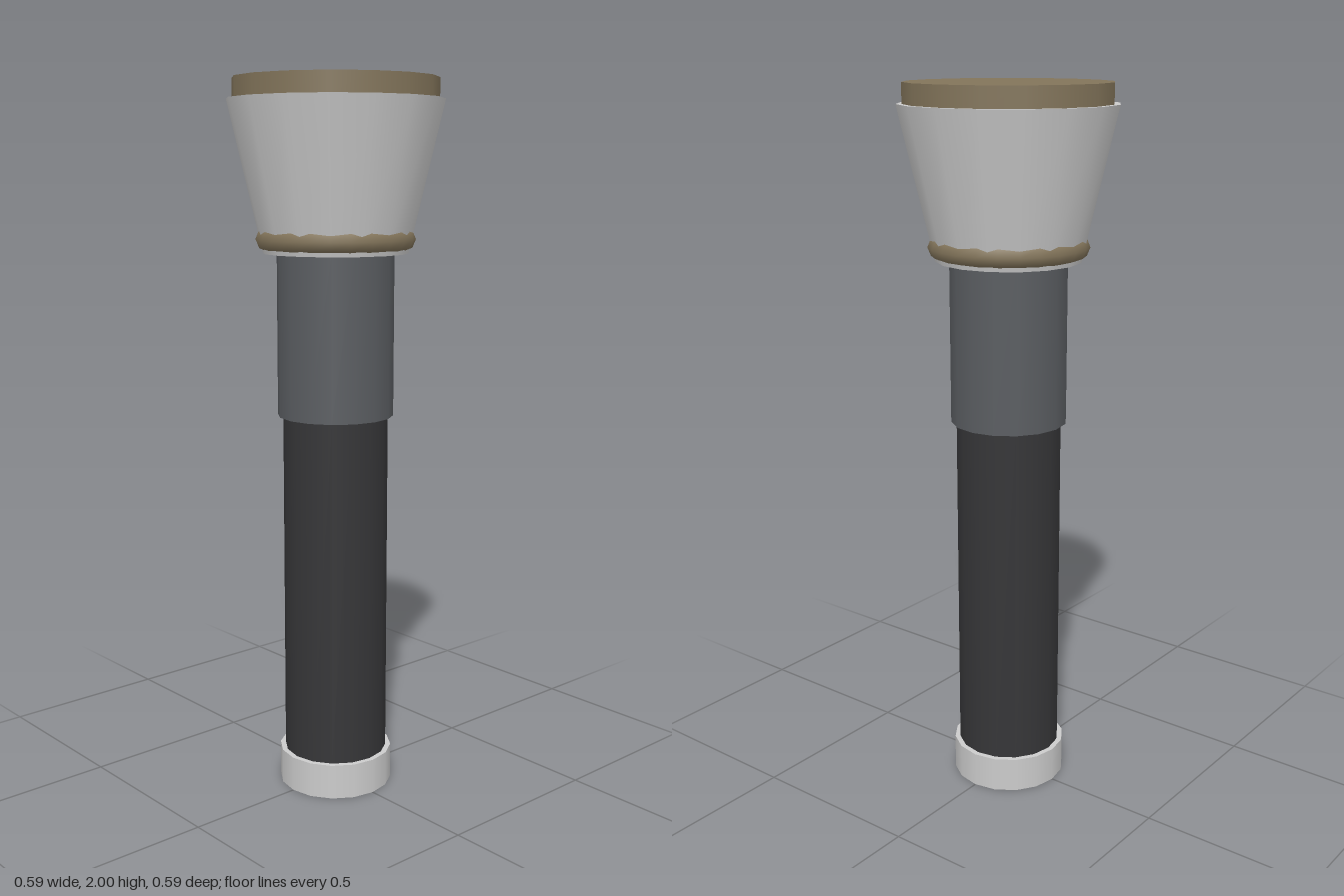
import * as THREE from 'three';

const SIDES = 16;
const material = (color) => new THREE.MeshStandardMaterial({ color });
const grey = material(0xcccccc);
const brass = material(0x82745a);
const slate = material(0x5a5d61);
const black = material(0x363638);

// Capped round section between two heights
function section(name, bottomRadius, topRadius, y0, y1, mat) {
  const geometry = new THREE.CylinderGeometry(topRadius, bottomRadius, y1 - y0, SIDES);
  const mesh = new THREE.Mesh(geometry, mat);
  mesh.name = name;
  mesh.position.y = (y0 + y1) / 2;
  return mesh;
}

export function createModel() {
  const group = new THREE.Group();
  group.name = 'flashlight';

  // Handle, from the end cap up to the neck
  group.add(
    section('endCap', 0.162, 0.162, 0, 0.1, grey),
    section('grip', 0.147, 0.147, 0.1, 1.085, black),
    section('neck', 0.162, 0.162, 1.085, 1.54, slate),
  );

  // Flared head with its raised lens
  group.add(
    section('head', 0.2, 0.296, 1.535, 1.945, grey),
    section('lens', 0.28, 0.28, 1.94, 2, brass),
  );

  // Ring around the base of the head
  const ring = new THREE.Mesh(new THREE.TorusGeometry(0.188, 0.032, 8, 24), brass);
  ring.name = 'headRing';
  ring.rotation.x = Math.PI / 2;
  ring.position.y = 1.573;
  group.add(ring);

  return group;
}
